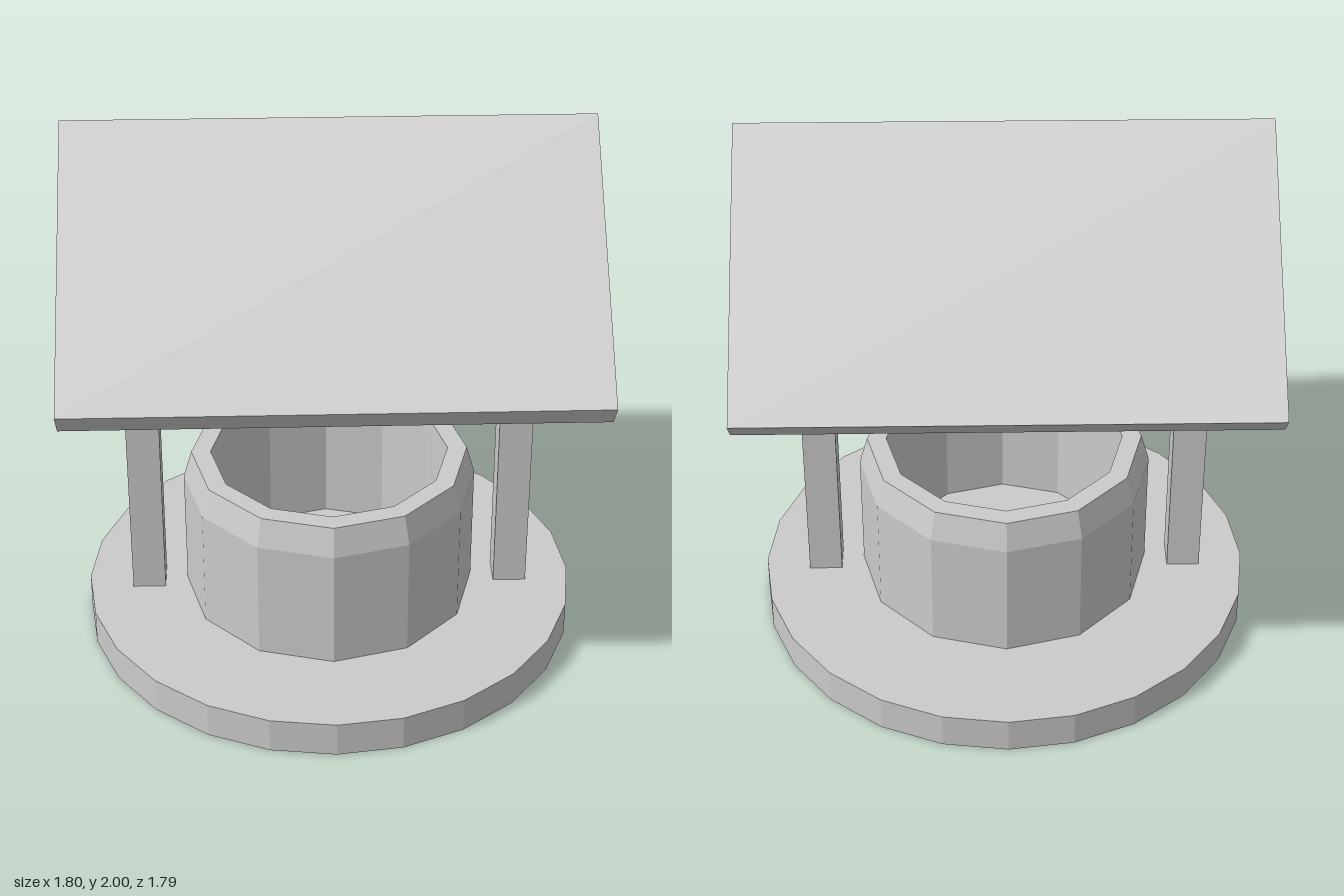
import * as THREE from 'three';

export function createModel() {
  const group = new THREE.Group();
  const material = new THREE.MeshStandardMaterial({ color: 0xcccccc, flatShading: true });

  const add = (name, geometry, x = 0, y = 0, z = 0) => {
    const mesh = new THREE.Mesh(geometry, material);
    mesh.name = name;
    mesh.position.set(x, y, z);
    group.add(mesh);
    return mesh;
  };

  // Extrudes a [z, y] outline along x, centred on x = 0
  const extrudeAlongX = (outline, width) => {
    const shape = new THREE.Shape(outline.map(([z, y]) => new THREE.Vector2(z, y)));
    return new THREE.ExtrudeGeometry(shape, { depth: width, bevelEnabled: false })
      .rotateY(-Math.PI / 2)
      .translate(width / 2, 0, 0);
  };

  // Round base slab
  const baseTop = 0.13;
  add('base', new THREE.CylinderGeometry(0.893, 0.893, baseTop, 24), 0, baseTop / 2, 0);

  // Hollow well wall with a chamfered rim
  const wall = [[0.53, baseTop], [0.53, 0.58], [0.5, 0.685], [0.43, 0.685], [0.43, baseTop]];
  add('wellWall', new THREE.LatheGeometry(wall.map(([r, y]) => new THREE.Vector2(r, y)), 12), 0, 0, 0.013);

  // Forked posts, whose arms end flush under the roof
  const post = [
    [-0.063, baseTop], [0.063, baseTop], [0.063, 1.22], [0.392, 1.535], [0.327, 1.59],
    [0.063, 1.34], [-0.063, 1.34], [-0.327, 1.59], [-0.392, 1.535], [-0.063, 1.22],
  ];
  for (const [name, side] of [['leftPost', 1], ['rightPost', -1]]) {
    add(name, extrudeAlongX(post, 0.12), side * 0.67, 0, 0.008);
  }

  // Beam joining the posts at the forks
  add('crossbeam', new THREE.BoxGeometry(1.22, 0.12, 0.126), 0, 1.28, 0.008);

  // Gabled roof of two slabs meeting at the ridge
  const roof = [
    [0.005, 2], [-0.785, 1.33], [-0.715, 1.25], [0.005, 1.87], [0.735, 1.24], [0.805, 1.33],
  ];
  add('roof', extrudeAlongX(roof, 1.8));

  return group;
}
